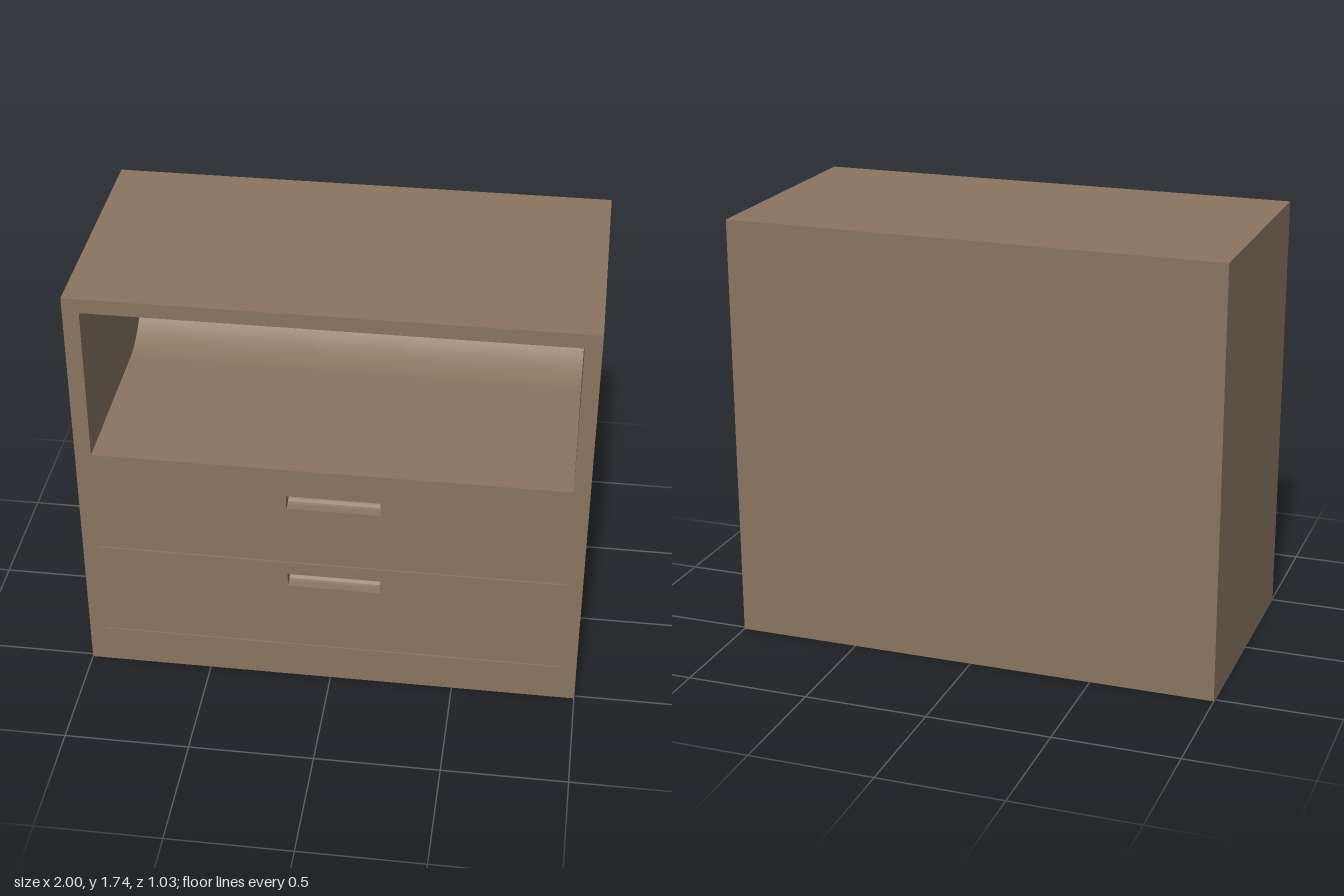
import * as THREE from 'three';
import { toCreasedNormals } from 'three/addons/utils/BufferGeometryUtils.js';

const H = 1.74, D = 1.03, F = -D / 2; // height, depth, front plane in profile space
const INNER = 0.935;                  // inner half width between the side panels

// Cuts a recess with a rounded back into the front edge, working downwards
function recess(shape, top, bottom, straight, round) {
  const mid = (top + bottom) / 2, r = (top - bottom) / 2;
  shape.lineTo(F, top);
  shape.lineTo(F + straight, top);
  shape.absellipse(F + straight, mid, round, r, Math.PI / 2, -Math.PI / 2, true);
  shape.lineTo(F, bottom);
}

// Thin drawer gap
function groove(shape, y) {
  const h = 0.003, d = 0.012;
  shape.lineTo(F, y + h);
  shape.lineTo(F + d, y + h);
  shape.lineTo(F + d, y - h);
  shape.lineTo(F, y - h);
}

// Side profile of the cabinet body, with or without the handle slots
function profile(withSlots) {
  const s = new THREE.Shape();
  s.moveTo(F, 0);
  s.lineTo(-F, 0);
  s.lineTo(-F, H);
  s.lineTo(F, H);
  recess(s, 1.68, 1.035, 0.71, 0.295); // open alcove
  if (withSlots) recess(s, 0.91, 0.85, 0.03, 0.03);
  groove(s, 0.585);
  if (withSlots) recess(s, 0.525, 0.465, 0.03, 0.03);
  groove(s, 0.163);
  s.closePath();
  return s;
}

export function createModel() {
  const group = new THREE.Group();
  const wood = new THREE.MeshStandardMaterial({ color: 0x8a7560, roughness: 0.9 });

  const add = (name, geometry) => {
    const mesh = new THREE.Mesh(geometry, wood);
    mesh.name = name;
    group.add(mesh);
    return mesh;
  };

  // Body sections swept along x; the middle one holds the handle slots
  const section = (name, x0, x1, withSlots) => {
    const g = new THREE.ExtrudeGeometry(profile(withSlots), {
      depth: x1 - x0, bevelEnabled: false, curveSegments: 32,
    });
    g.rotateY(Math.PI / 2);
    g.translate(x0, 0, 0);
    add(name, toCreasedNormals(g, 0.4));
  };
  section('bodyRight', -INNER, -0.17, false);
  section('bodyMiddleWithHandleSlots', -0.17, 0.2, true);
  section('bodyLeft', 0.2, INNER, false);

  // Side panels
  for (const [name, side] of [['sidePanelRight', -1], ['sidePanelLeft', 1]]) {
    const panel = add(name, new THREE.BoxGeometry(1 - INNER, H, D));
    panel.position.set(side * (1 + INNER) / 2, H / 2, 0);
  }
  return group;
}
